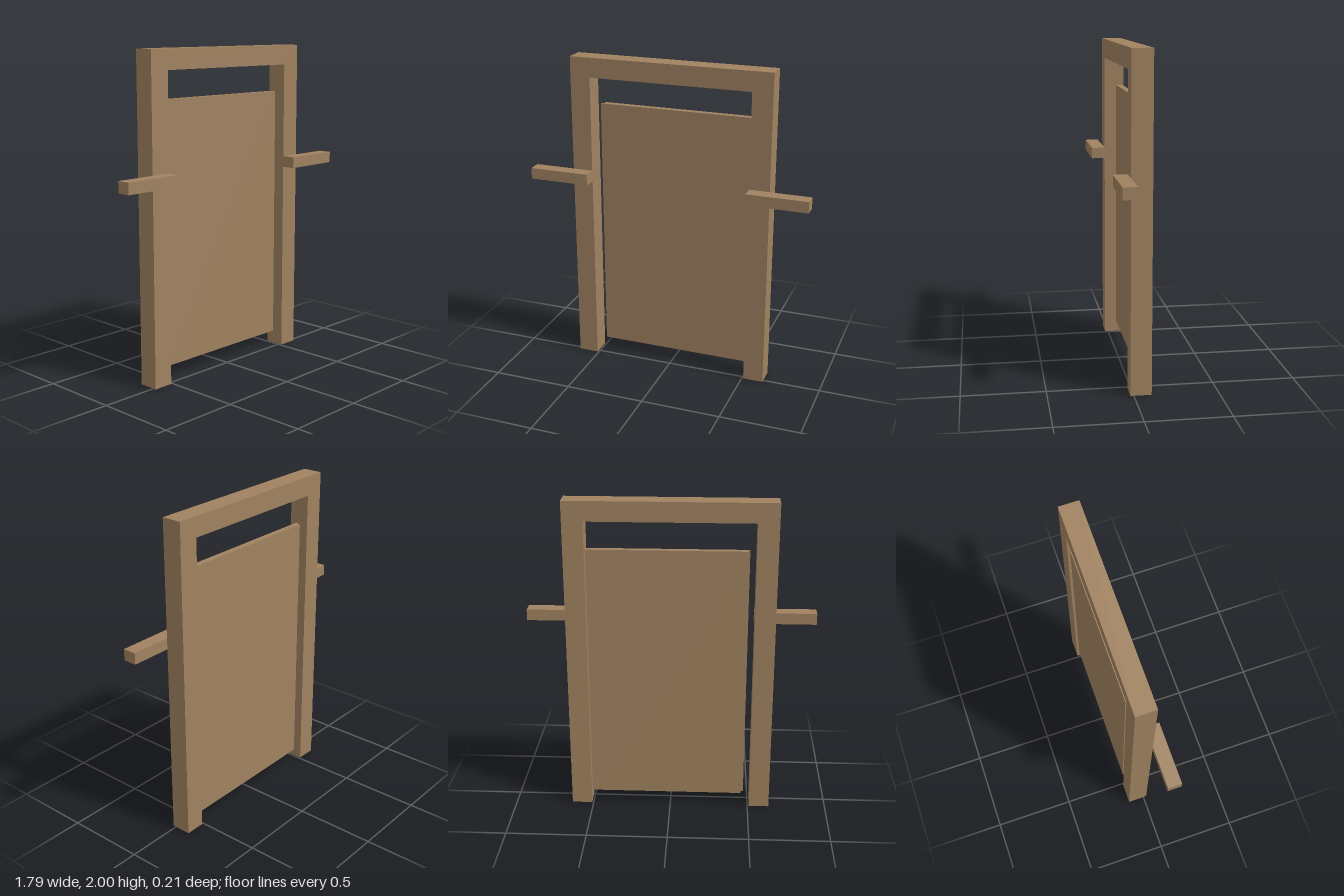
import * as THREE from 'three';

export function createModel() {
  const model = new THREE.Group();
  const wood = new THREE.MeshStandardMaterial({ color: 0xa08260 });
  wood.name = 'wood';

  const add = (name, geometry) => {
    const mesh = new THREE.Mesh(geometry, wood);
    mesh.name = name;
    model.add(mesh);
    return mesh;
  };

  // Box given by its lower and upper limits on each axis
  const addBox = (name, [x0, x1], [y0, y1], [z0, z1]) =>
    add(name, new THREE.BoxGeometry(x1 - x0, y1 - y0, z1 - z0))
      .position.set((x0 + x1) / 2, (y0 + y1) / 2, (z0 + z1) / 2);

  // Door frame: two posts and a lintel in one outline, open at the bottom
  const outer = 0.637, inner = 0.51, top = 2, lintel = 1.878;
  const outline = new THREE.Shape([
    [-outer, 0], [-inner, 0], [-inner, lintel], [inner, lintel],
    [inner, 0], [outer, 0], [outer, top], [-outer, top],
  ].map(([x, y]) => new THREE.Vector2(x, y)));
  add('doorFrame', new THREE.ExtrudeGeometry(outline, { depth: 0.125, bevelEnabled: false }))
    .position.z = -0.105;

  // Door leaf with a narrow lip along its free edge
  const doorHeight = [0.085, 1.705];
  addBox('doorLeaf', [-0.455, 0.504], doorHeight, [-0.09, -0.05]);
  addBox('doorLip', [-0.471, -0.455], doorHeight, [-0.062, -0.05]);

  // Short rails fixed to the front of each post
  addBox('leftRail', [inner, 0.893], [1.215, 1.285], [0.02, 0.105]);
  addBox('rightRail', [-0.893, -inner], [1.215, 1.285], [0.02, 0.105]);

  return model;
}
